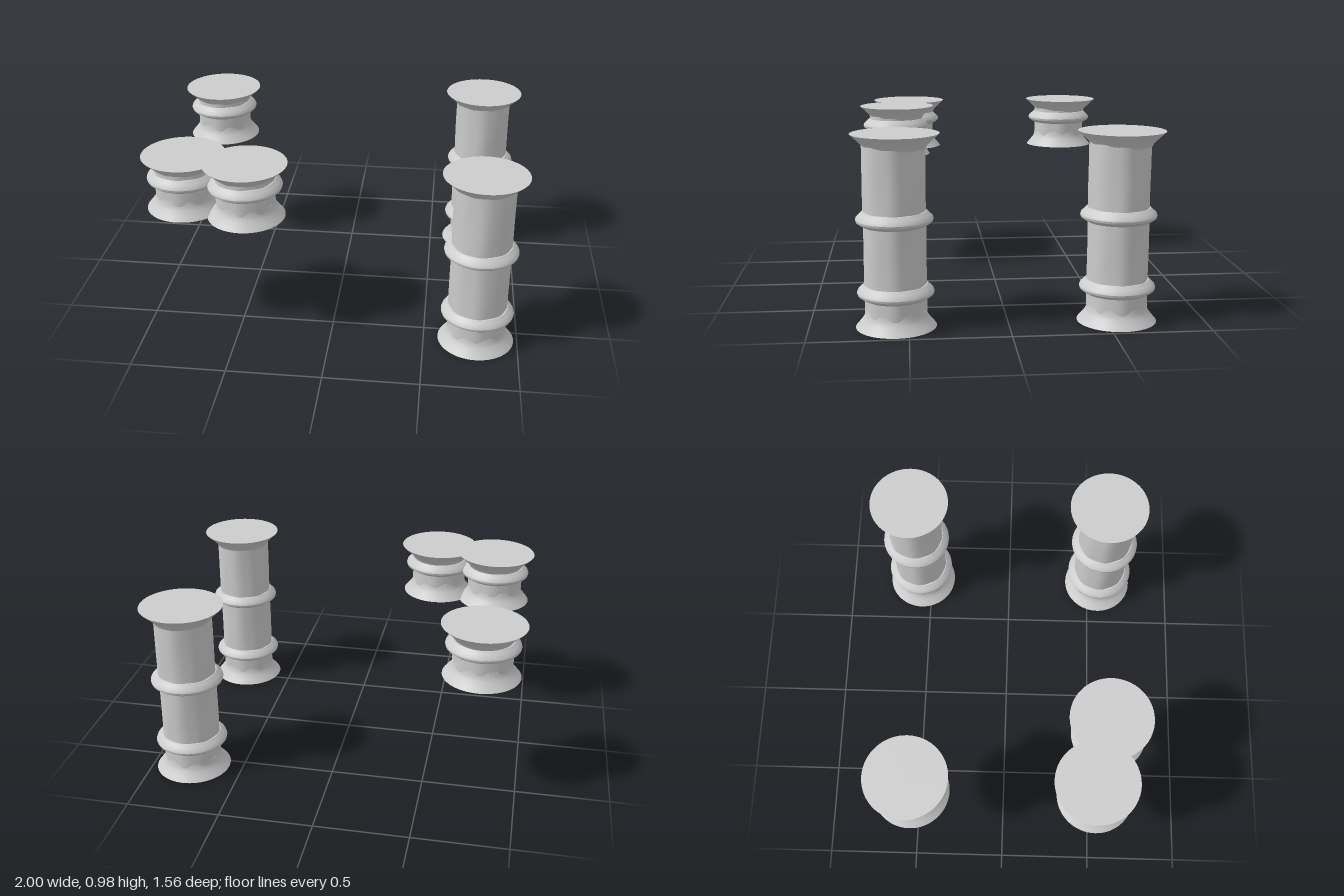
import * as THREE from 'three';
import { toCreasedNormals } from 'three/addons/utils/BufferGeometryUtils.js';

const SEG = 64;
const TOP = 0.975;

// Turned part from [radius, height] pairs, listed bottom to top
function turned(name, profile, material, wobble = 0) {
  const geo = new THREE.LatheGeometry(profile.map(([r, y]) => new THREE.Vector2(r, y)), SEG);
  const p = geo.attributes.position;
  if (wobble) {
    // Shallow flats worn around the shaft
    for (let i = 0; i < p.count; i++) {
      const a = Math.atan2(p.getZ(i), p.getX(i));
      const k = 1 + wobble * Math.cos(8 * a) + wobble * 0.5 * Math.sin(3 * a + p.getY(i) * 14);
      p.setX(i, p.getX(i) * k);
      p.setZ(i, p.getZ(i) * k);
    }
  }
  const mesh = new THREE.Mesh(toCreasedNormals(geo, 0.6), material);
  mesh.name = name;
  return mesh;
}

function makeColumn(name, x, z, bottom, rings, material) {
  const column = new THREE.Group();
  column.name = name;

  // Flared foot
  column.add(turned('foot', [
    [0, bottom], [0.203, bottom], [0.185, bottom + 0.022], [0.166, bottom + 0.045],
    [0.156, bottom + 0.065], [0.153, bottom + 0.09], [0, bottom + 0.09],
  ], material));

  // Shaft
  const shaft = [];
  const from = bottom + 0.05, to = 0.94;
  for (let i = 0; i <= 16; i++) shaft.push([0.154, from + (to - from) * i / 16]);
  column.add(turned('shaft', shaft, material, 0.012));

  // Bevelled rings around the shaft
  rings.forEach((y) => column.add(turned('ring', [
    [0.148, y - 0.036], [0.16, y - 0.034], [0.176, y - 0.025], [0.19, y - 0.014],
    [0.193, y - 0.003], [0.189, y + 0.008], [0.174, y + 0.022], [0.16, y + 0.036], [0.148, y + 0.038],
  ], material)));

  // Flared capital, set slightly back from the shaft
  const capital = turned('capital', [
    [0, 0.9], [0.15, 0.9], [0.161, 0.92], [0.219, TOP], [0, TOP],
  ], material);
  capital.position.z = -0.008;
  column.add(capital);

  column.position.set(x, 0, z);
  return column;
}

export function createModel() {
  const model = new THREE.Group();
  model.name = 'columns';
  const stone = new THREE.MeshStandardMaterial({ color: 0xcccccc });
  stone.name = 'pale stone';

  // Tall columns on the left side
  [['frontTallColumn', 0.564], ['backTallColumn', -0.557]].forEach(([name, z]) =>
    model.add(makeColumn(name, 0.779, z, 0, [0.184, 0.555], stone)));

  // Short raised columns on the right side
  [
    ['backShortColumn', -0.781, -0.483],
    ['frontShortColumn', -0.781, 0.49],
    ['innerShortColumn', -0.443, 0.564],
  ].forEach(([name, x, z]) => model.add(makeColumn(name, x, z, 0.685, [0.863], stone)));

  return model;
}
